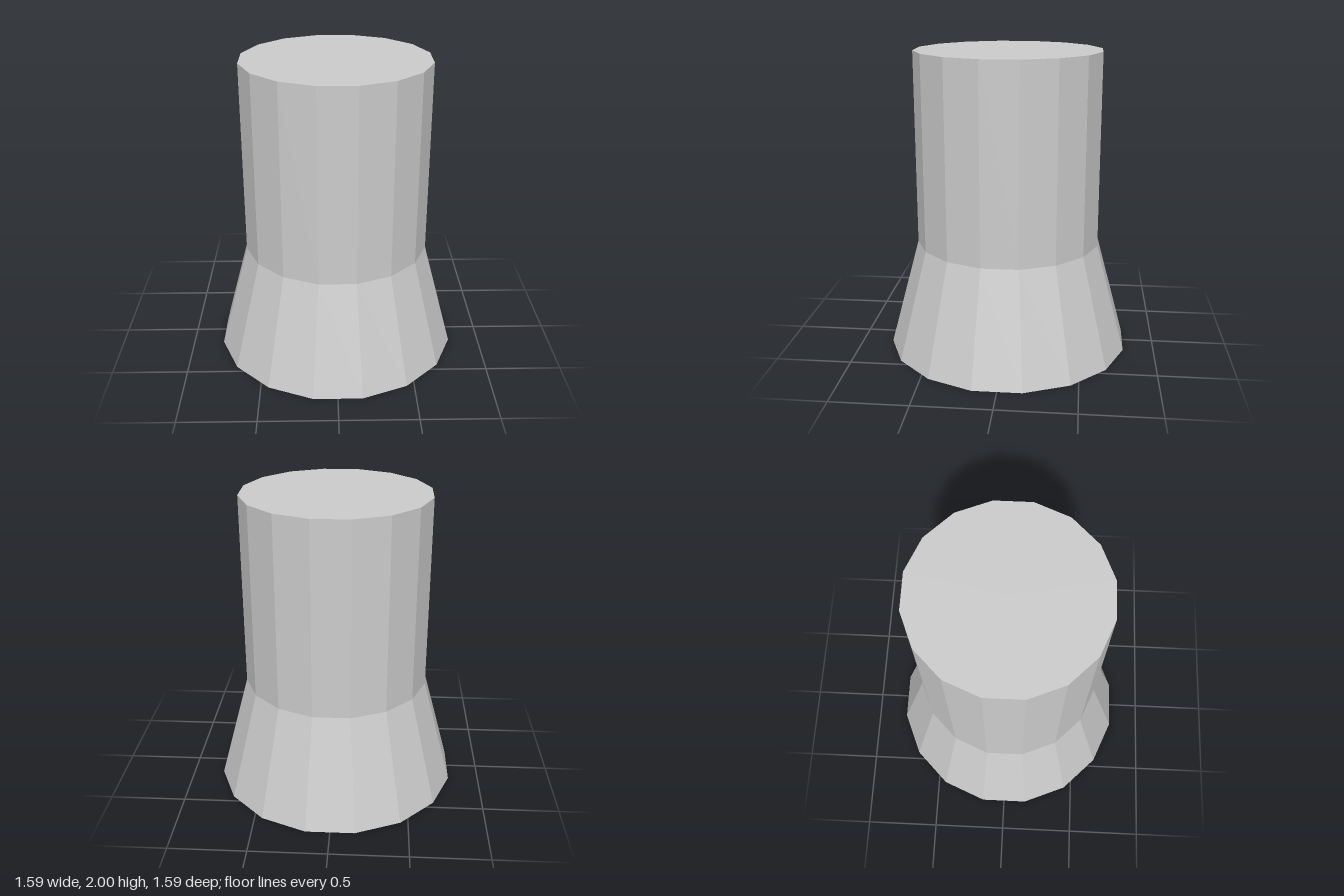
import * as THREE from 'three';

const SIDES = 16;

export function createModel() {
  const group = new THREE.Group();
  group.name = 'flaredColumn';

  // closed profile, bottom centre to top centre: flared foot, then straight shaft
  const profile = [
    [0, 0],
    [0.81, 0],
    [0.612, 0.73],
    [0.612, 2],
    [0, 2],
  ].map(([r, y]) => new THREE.Vector2(r, y));

  // half-step turn so flat facets face the front and sides
  const geometry = new THREE.LatheGeometry(profile, SIDES, Math.PI / SIDES);
  const material = new THREE.MeshStandardMaterial({ color: 0xcccccc, flatShading: true });

  const column = new THREE.Mesh(geometry, material);
  column.name = 'columnWithFlaredBase';
  group.add(column);
  return group;
}
